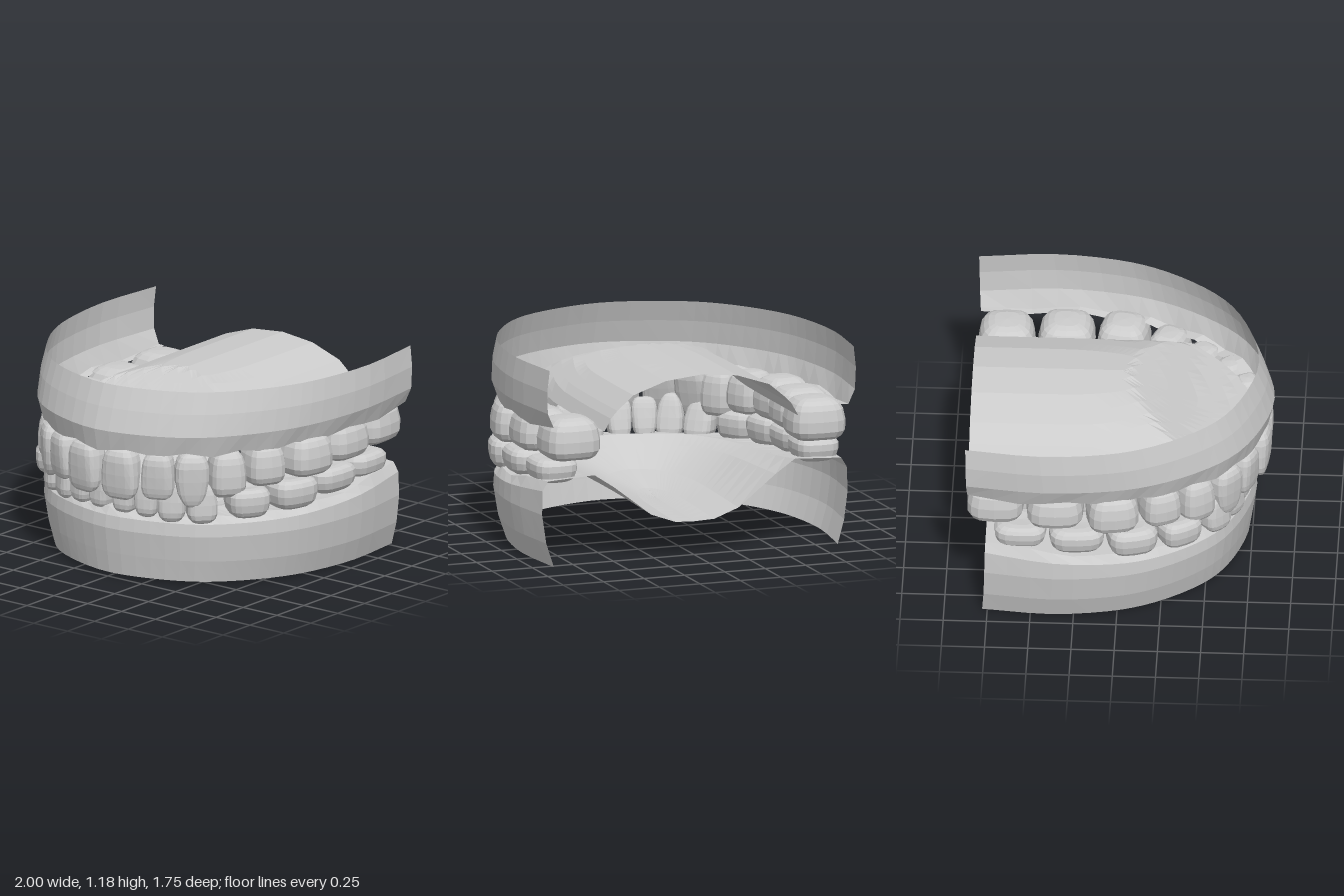
import * as THREE from 'three';

const gumMaterial = new THREE.MeshStandardMaterial({ color: 0xcccccc, flatShading: true, side: THREE.DoubleSide });
const toothMaterial = new THREE.MeshStandardMaterial({ color: 0xcccccc, flatShading: true });

// Half arches from front centre to back end: [fraction of half width, fraction of depth]
const OUTER = [[0, 1], [0.3, 0.963], [0.56, 0.885], [0.73, 0.78], [0.88, 0.632], [0.955, 0.5], [1, 0.27], [0.955, 0]];
const INNER = [[0, 1], [0.33, 0.97], [0.62, 0.915], [0.79, 0.84], [0.9, 0.74], [0.98, 0.6], [1, 0.35], [1, 0]];
const SEGMENTS = 44;

function sampleArch(half) {
  const left = half.map(([u, v]) => new THREE.Vector3(u, 0, v));
  const right = half.slice(1).reverse().map(([u, v]) => new THREE.Vector3(-u, 0, v));
  return new THREE.CatmullRomCurve3([...right, ...left]).getPoints(SEGMENTS);
}
const arches = new Map([[OUTER, sampleArch(OUTER)], [INNER, sampleArch(INNER)]]);

// Height along an arch: front and back level, scalloped edge, sag between the ends
const level = (front, back, scallop = 0, sag = 0) => (x, z, v, i) =>
  THREE.MathUtils.lerp(back, front, v) - sag * 4 * v * (1 - v)
  + scallop * Math.cos((i - SEGMENTS / 2) * Math.PI * 0.5);

// Straight-line reading of a profile given as [position, height] points
function profile(points, s) {
  for (let i = 1; i < points.length; i++) {
    const [s0, y0] = points[i - 1];
    const [s1, y1] = points[i];
    if (s <= s1) return THREE.MathUtils.mapLinear(Math.max(s, s0), s0, s1, y0, y1);
  }
  return points[points.length - 1][1];
}

// Palate vault: a barrel along z, cut by the slope behind the front teeth
const BARREL = [[0, 1.09], [0.22, 1.068], [0.42, 1.0], [0.55, 0.89], [0.6, 0.8]];
const SLOPE = [[0.04, 1.09], [0.22, 1.0], [0.42, 0.88], [0.6, 0.81], [0.78, 0.785]];
const vault = (x, z) => Math.min(profile(BARREL, Math.abs(x)), profile(SLOPE, z));

// Lofts a skin through arches; row: [template, half width, front z, back z, height rule]
function archSkin(name, rows) {
  const positions = [];
  const index = [];
  rows.forEach(([template, w, front, back, height], r) => {
    arches.get(template).forEach((p, i) => {
      const x = w * p.x;
      const z = THREE.MathUtils.lerp(back, front, p.z);
      positions.push(x, height(x, z, p.z, i), z);
      if (r > 0 && i > 0) {
        const b = r * (SEGMENTS + 1) + i;
        const a = b - SEGMENTS - 1;
        index.push(a - 1, b - 1, a, a, b - 1, b);
      }
    });
  });
  const geometry = new THREE.BufferGeometry();
  geometry.setAttribute('position', new THREE.Float32BufferAttribute(positions, 3));
  geometry.setIndex(index);
  geometry.computeVertexNormals();
  const mesh = new THREE.Mesh(geometry, gumMaterial);
  mesh.name = name;
  return mesh;
}

// Crown made from a rounded block; bite is -1 when the biting edge points down, +1 when up
function crownGeometry(kind, w, h, d, bite) {
  const geometry = new THREE.SphereGeometry(1, 16, 10);
  const p = geometry.attributes.position;
  const soft = (c) => Math.sign(c) * Math.abs(c) ** 0.62;
  for (let i = 0; i < p.count; i++) {
    let x = soft(p.getX(i));
    let y = soft(p.getY(i));
    let z = soft(p.getZ(i));
    const t = (y * bite + 1) / 2; // 0 at the neck, 1 at the biting edge
    if (kind === 'molar') {
      // shallow hollow in the chewing surface, slightly narrower neck
      if (t > 0.8) y -= bite * 0.18 * Math.max(0, 1 - Math.hypot(x, z) / 0.8);
      const neck = 0.88 + 0.12 * Math.min(1, t * 1.6);
      x *= neck;
      z *= neck;
    } else {
      // front teeth thin to an edge, canines to a point
      const thin = 1 - 0.6 * t;
      z = z * thin + (1 - thin) * 0.6;
      x *= kind === 'canine' ? 0.85 + 0.55 * t - 0.85 * t * t : 0.86 + 0.14 * t;
    }
    p.setXYZ(i, x * w / 2, y * h / 2, z * d / 2);
  }
  geometry.computeVertexNormals();
  return geometry;
}

// Each tooth: [name, kind, x, z, turn, width along arch, depth, low y, high y]
const UPPER_TEETH = [
  ['CentralIncisor', 'incisor', 0.127, 0.775, 0.14, 0.245, 0.19, 0.505, 0.815],
  ['LateralIncisor', 'incisor', 0.34, 0.705, 0.42, 0.21, 0.18, 0.525, 0.81],
  ['Canine', 'canine', 0.5, 0.6, 0.75, 0.22, 0.2, 0.485, 0.81],
  ['FirstPremolar', 'molar', 0.625, 0.435, 0.95, 0.22, 0.23, 0.525, 0.815],
  ['SecondPremolar', 'molar', 0.73, 0.235, 1.15, 0.24, 0.27, 0.575, 0.835],
  ['FirstMolar', 'molar', 0.82, -0.03, 1.4, 0.31, 0.31, 0.59, 0.85],
  ['SecondMolar', 'molar', 0.803, -0.36, 1.55, 0.34, 0.34, 0.61, 0.86],
  ['ThirdMolar', 'molar', 0.76, -0.705, 1.6, 0.34, 0.345, 0.615, 0.875],
];
const LOWER_TEETH = [
  ['CentralIncisor', 'incisor', 0.085, 0.685, 0.1, 0.16, 0.16, 0.39, 0.62],
  ['LateralIncisor', 'incisor', 0.235, 0.67, 0.28, 0.16, 0.16, 0.39, 0.62],
  ['Canine', 'canine', 0.375, 0.625, 0.55, 0.18, 0.18, 0.375, 0.64],
  ['FirstPremolar', 'canine', 0.525, 0.54, 0.8, 0.2, 0.2, 0.375, 0.62],
  ['SecondPremolar', 'molar', 0.705, 0.345, 1.0, 0.26, 0.24, 0.4, 0.59],
  ['FirstMolar', 'molar', 0.81, 0.08, 1.3, 0.3, 0.28, 0.415, 0.61],
  ['SecondMolar', 'molar', 0.83, -0.235, 1.5, 0.33, 0.28, 0.445, 0.615],
  ['ThirdMolar', 'molar', 0.81, -0.56, 1.58, 0.31, 0.27, 0.46, 0.615],
];

function teethRow(prefix, teeth, bite) {
  const row = new THREE.Group();
  row.name = prefix + 'Teeth';
  for (const [name, kind, x, z, turn, w, d, low, high] of teeth) {
    const geometry = crownGeometry(kind, w, high - low, d, bite);
    for (const side of [1, -1]) {
      const tooth = new THREE.Mesh(geometry, toothMaterial);
      tooth.name = prefix + (side > 0 ? 'Left' : 'Right') + name;
      tooth.position.set(side * x, (low + high) / 2, z);
      tooth.rotation.y = side * turn;
      row.add(tooth);
    }
  }
  return row;
}

export function createModel() {
  const model = new THREE.Group();
  model.name = 'dentures';

  // Upper jaw: outer gum band, open above the teeth, and vaulted palate
  model.add(archSkin('upperGum', [
    [OUTER, 0.985, 0.785, -0.875, level(1.175, 1.185)],
    [OUTER, 1.0, 0.835, -0.873, level(1.05, 1.06)],
    [OUTER, 0.995, 0.876, -0.87, level(0.92, 0.93)],
    [OUTER, 0.955, 0.85, -0.865, level(0.8, 0.83, -0.014)],
    [OUTER, 0.91, 0.78, -0.86, level(0.785, 0.83, -0.014)],
  ]));
  const palateRows = [
    [0.6, 0.775], [0.585, 0.7], [0.56, 0.62], [0.52, 0.53], [0.47, 0.43], [0.42, 0.34],
    [0.33, 0.26], [0.22, 0.17], [0.11, 0.09], [0, 0.03],
  ];
  model.add(archSkin('palate', palateRows.map(([w, front]) => [INNER, w, front, -0.87, vault])));
  model.add(teethRow('upper', UPPER_TEETH, -1));

  // Lower jaw: outer gum band, ridge and hollow floor
  const ridge = [OUTER, 0.95, 0.735, -0.76, level(0.41, 0.515, 0.01, 0.03)];
  model.add(archSkin('lowerGum', [
    [OUTER, 0.92, 0.735, -0.78, level(0.02, 0)],
    [OUTER, 0.965, 0.755, -0.77, level(0.15, 0.14)],
    [OUTER, 0.99, 0.775, -0.765, level(0.3, 0.31)],
    [OUTER, 0.985, 0.765, -0.762, level(0.375, 0.45, 0, 0.02)],
    ridge,
  ]));
  model.add(archSkin('lowerFloor', [
    ridge,
    [INNER, 0.62, 0.61, -0.76, level(0.43, 0.52, 0, 0.03)],
    [INNER, 0.5, 0.5, -0.762, level(0.38, 0.44)],
    [INNER, 0.27, 0.3, -0.764, level(0.29, 0.26)],
    [INNER, 0.12, 0.05, -0.765, level(0.23, 0.205)],
    [INNER, 0, -0.1, -0.765, level(0.21, 0.2)],
  ]));
  model.add(teethRow('lower', LOWER_TEETH, 1));

  return model;
}
